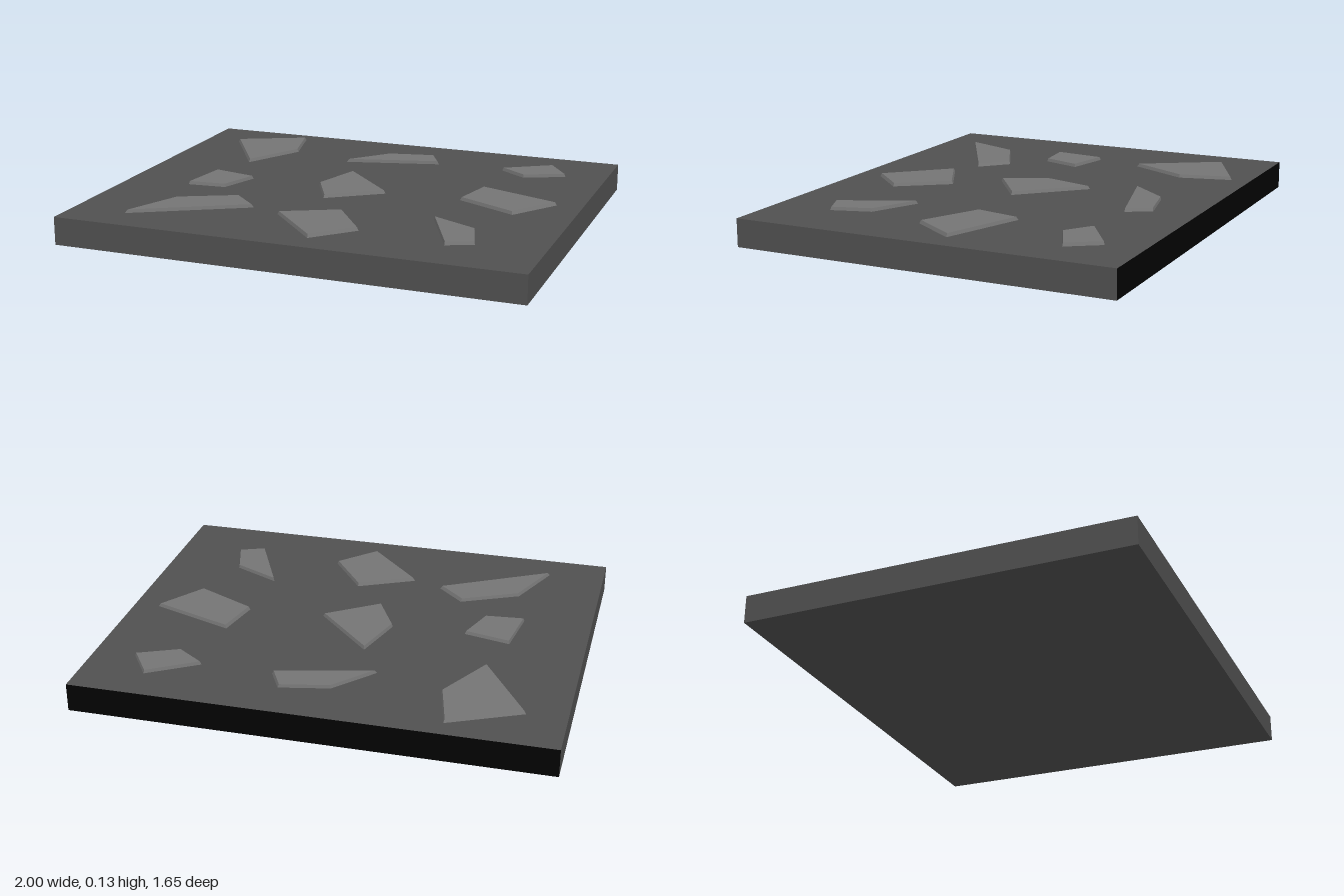
import * as THREE from 'three';

const slabGrey = new THREE.MeshStandardMaterial({ color: 0x505050 });
slabGrey.name = 'slabGrey';
const stoneGrey = new THREE.MeshStandardMaterial({ color: 0x747474 });
stoneGrey.name = 'stoneGrey';
const backBlack = new THREE.MeshStandardMaterial({ color: 0x030303 });
backBlack.name = 'backBlack';

const WIDTH = 2, HEIGHT = 0.12, DEPTH = 1.655;
const STONE_HEIGHT = 0.014, INSET = 0.96;

// Stone outlines as [x, z] corners, row by row from the back
const OUTLINES = [
  [[-0.835, -0.6], [-0.535, -0.745], [-0.48, -0.515], [-0.62, -0.255]],
  [[-0.195, -0.425], [-0.045, -0.595], [0.165, -0.64], [0.22, -0.535]],
  [[0.525, -0.535], [0.73, -0.665], [0.82, -0.53], [0.645, -0.45]],
  [[-0.68, -0.045], [-0.48, 0], [-0.54, 0.17], [-0.71, 0.185]],
  [[-0.095, -0.245], [0.155, 0.015], [-0.07, 0.175], [-0.165, -0.01]],
  [[0.53, -0.205], [0.89, -0.075], [0.75, 0.125], [0.485, -0.005]],
  [[-0.405, 0.3], [-0.29, 0.41], [-0.755, 0.675], [-0.65, 0.42]],
  [[0.08, 0.34], [0.235, 0.555], [0.08, 0.715], [-0.16, 0.46]],
  [[0.465, 0.295], [0.67, 0.395], [0.72, 0.565], [0.61, 0.61]],
];

// Flat stone whose top is drawn in slightly towards its middle
function makeStone(outline) {
  const points = outline.map(([x, z]) => new THREE.Vector2(x, -z));
  const middle = new THREE.Vector2();
  points.forEach((p) => middle.addScaledVector(p, 1 / points.length));
  const geometry = new THREE.ExtrudeGeometry(new THREE.Shape(points), {
    depth: STONE_HEIGHT, bevelEnabled: false,
  });
  const pos = geometry.attributes.position;
  for (let i = 0; i < pos.count; i++) {
    if (pos.getZ(i) < STONE_HEIGHT / 2) continue;
    pos.setX(i, middle.x + (pos.getX(i) - middle.x) * INSET);
    pos.setY(i, middle.y + (pos.getY(i) - middle.y) * INSET);
  }
  geometry.rotateX(-Math.PI / 2);
  geometry.translate(0, HEIGHT, 0);
  geometry.computeVertexNormals();
  return new THREE.Mesh(geometry, stoneGrey);
}

export function createModel() {
  const model = new THREE.Group();
  model.name = 'stonePathTile';

  // Slab, with a black back face (the last box group)
  const slab = new THREE.Mesh(
    new THREE.BoxGeometry(WIDTH, HEIGHT, DEPTH),
    [slabGrey, slabGrey, slabGrey, slabGrey, slabGrey, backBlack],
  );
  slab.name = 'slab';
  slab.position.y = HEIGHT / 2;
  model.add(slab);

  // Scattered paving stones
  const stones = new THREE.Group();
  stones.name = 'stones';
  OUTLINES.forEach((outline, i) => {
    const stone = makeStone(outline);
    stone.name = `stone${i + 1}`;
    stones.add(stone);
  });
  model.add(stones);

  return model;
}
